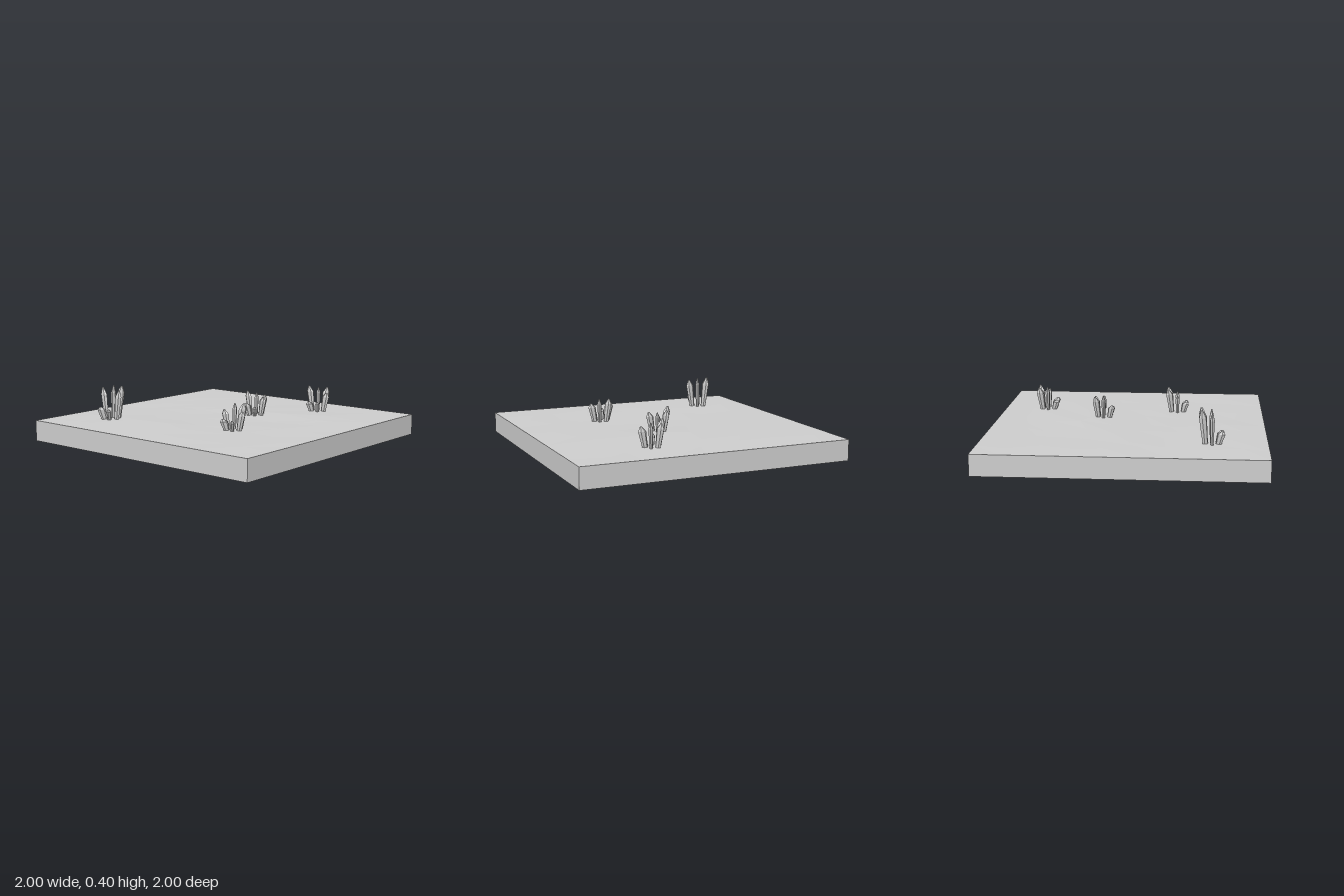
import * as THREE from 'three';

const GROUND = 0.153;

// Seeded generator for the terrain jitter
function seeded(seed) {
  return () => (seed = (seed * 16807) % 2147483647) / 2147483647;
}

// Gentle height of the ground: two low mounds that fade out at the edges
function mound(x, z) {
  const bump = (cx, cz, sx, sz, h) => h * Math.exp(-(((x - cx) / sx) ** 2) - ((z - cz) / sz) ** 2);
  return bump(-0.35, 0.6, 0.4, 0.22, 0.011) + bump(0.2, -0.4, 0.45, 0.2, 0.014);
}

// Square slab with a faceted, uneven top
function makeSlab(material) {
  const n = 9;
  const geo = new THREE.BoxGeometry(2, GROUND, 2, n, 1, n);
  geo.translate(0, GROUND / 2, 0);
  const rand = seeded(41);
  const pos = geo.attributes.position, nor = geo.attributes.normal;
  for (let i = 0; i < pos.count; i++) {
    const x = pos.getX(i), z = pos.getZ(i);
    if (nor.getY(i) < 0.5 || Math.max(Math.abs(x), Math.abs(z)) > 0.99) continue;
    const nx = x + (rand() - 0.5) * 0.14, nz = z + (rand() - 0.5) * 0.14;
    pos.setXYZ(i, nx, GROUND + mound(nx, nz) + rand() * 0.003, nz);
  }
  const slab = new THREE.Mesh(geo, material);
  slab.name = 'groundSlab';
  return slab;
}

// Six-sided crystal leaning out along +x: base ring, shoulder ring, off-centre tip
function makeCrystal(height, material) {
  const shoulder = height * 0.78;
  const rings = [
    { y: -0.01, c: 0.048, a: 0.02, b: 0.012 },
    { y: shoulder, c: 0.071, a: 0.03, b: 0.017 },
    { y: height, c: 0.08, a: 0.008, b: 0.004 },
  ];
  const geo = new THREE.CylinderGeometry(1, 1, 1, 6, 2);
  const pos = geo.attributes.position;
  for (let i = 0; i < pos.count; i++) {
    const r = rings[Math.round((pos.getY(i) + 0.5) * 2)];
    // swap so that a ridge of the hexagon points outward
    const x = pos.getZ(i), z = -pos.getX(i);
    pos.setXYZ(i, r.c + x * r.a, r.y, z * r.b);
  }
  geo.computeVertexNormals();
  const crystal = new THREE.Mesh(geo, material);
  crystal.name = 'crystal';
  return crystal;
}

// Ring of six crystals; heights run right, backRight, backLeft, left, frontLeft, frontRight
function makeCluster(x, z, heights, size, material) {
  const cluster = new THREE.Group();
  cluster.name = 'crystalCluster';
  heights.forEach((top, i) => {
    const crystal = makeCrystal(top - GROUND, material);
    crystal.rotation.y = (i * Math.PI) / 3 + 0.03;
    crystal.scale.set(size, 1, size);
    cluster.add(crystal);
  });
  cluster.position.set(x, GROUND, z);
  return cluster;
}

export function createModel() {
  const stone = new THREE.MeshStandardMaterial({ color: 0xcccccc });
  stone.name = 'greyStone';
  stone.flatShading = true;

  const model = new THREE.Group();
  model.name = 'crystalGround';
  model.add(makeSlab(stone));

  const clusters = [
    [-0.605, 0.61, [0.375, 0.397, 0.395, 0.385, 0.25, 0.24], 1.03],
    [0.347, 0.345, [0.29, 0.335, 0.33, 0.29, 0.235, 0.23], 1],
    [0.11, -0.205, [0.3, 0.305, 0.315, 0.333, 0.25, 0.23], 0.94],
    [0.36, -0.665, [0.3, 0.333, 0.325, 0.342, 0.23, 0.235], 1],
  ];
  clusters.forEach(([x, z, heights, size]) => model.add(makeCluster(x, z, heights, size, stone)));
  return model;
}
